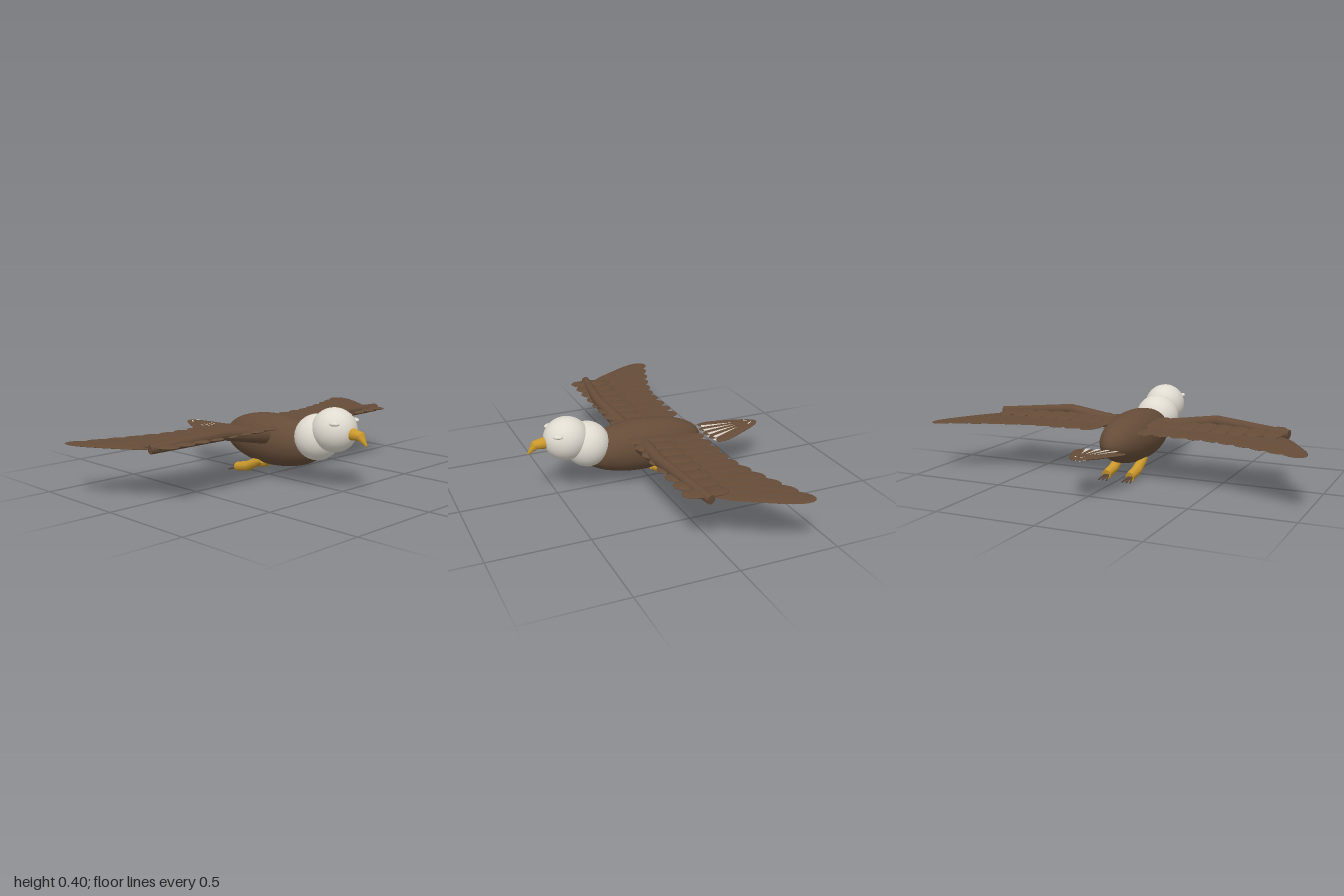
import * as THREE from 'three';
import { toCreasedNormals } from 'three/addons/utils/BufferGeometryUtils.js';

const mat = (name, color, extra = {}) => {
  const m = new THREE.MeshStandardMaterial({ color, ...extra });
  m.name = name;
  return m;
};

// Round limb through [x, y, z, radius] stations, closed at both ends
function limb(stations, sides = 20) {
  const pts = stations.map(s => new THREE.Vector3(s[0], s[1], s[2]));
  const n = pts.length, pos = [], idx = [];
  pts.forEach((p, i) => {
    const dir = pts[Math.min(i + 1, n - 1)].clone().sub(pts[Math.max(i - 1, 0)]).normalize();
    const ref = Math.abs(dir.y) > 0.9 ? new THREE.Vector3(1, 0, 0) : new THREE.Vector3(0, 1, 0);
    const u = ref.cross(dir).normalize();
    const v = dir.clone().cross(u);
    for (let j = 0; j < sides; j++) {
      const a = j / sides * Math.PI * 2;
      const q = p.clone().addScaledVector(u, Math.cos(a) * stations[i][3]).addScaledVector(v, Math.sin(a) * stations[i][3]);
      pos.push(q.x, q.y, q.z);
    }
  });
  for (let i = 0; i < n - 1; i++) for (let j = 0; j < sides; j++) {
    const a = i * sides + j, b = i * sides + (j + 1) % sides;
    idx.push(a, b, b + sides, a, b + sides, a + sides);
  }
  const c0 = pos.length / 3, c1 = c0 + 1, last = (n - 1) * sides;
  pos.push(...pts[0].toArray(), ...pts[n - 1].toArray());
  for (let j = 0; j < sides; j++) {
    const k = (j + 1) % sides;
    idx.push(c0, k, j, c1, last + j, last + k);
  }
  const g = new THREE.BufferGeometry();
  g.setAttribute('position', new THREE.Float32BufferAttribute(pos, 3));
  g.setIndex(idx);
  return toCreasedNormals(g, 0.6);
}

// Flat leaf with blunt rounded ends, long axis along z
function featherGeometry() {
  const g = new THREE.SphereGeometry(1, 20, 16).rotateX(Math.PI / 2);
  const p = g.attributes.position;
  for (let i = 0; i < p.count; i++) p.setX(i, p.getX(i) * Math.sqrt(1 + p.getZ(i) ** 2));
  g.computeVertexNormals();
  return g;
}

export function createModel() {
  const root = new THREE.Group();
  root.name = 'bird';
  const brown = mat('brown plumage', 0x654c38);
  const white = mat('white plumage', 0xe0dbd0);
  const stripeWhite = mat('tail stripe', 0xd8d2c6, { side: THREE.DoubleSide });
  const yellow = mat('yellow beak and legs', 0xcb992c);
  const dark = mat('dark talons', 0x5a4638);
  const ball = new THREE.SphereGeometry(1, 40, 28).rotateX(Math.PI / 2);
  const leaf = featherGeometry();

  const add = (parent, name, geo, material, pos = [0, 0, 0], scale = [1, 1, 1], yaw = 0) => {
    const m = new THREE.Mesh(geo, material);
    m.name = name;
    m.position.set(...pos);
    m.scale.set(...scale);
    m.rotation.y = yaw;
    parent.add(m);
    return m;
  };

  // Torso, neck and head
  add(root, 'body', ball, brown, [0, 0.198, 0.04], [0.128, 0.133, 0.33]);
  add(root, 'neck', ball, white, [0, 0.25, 0.335], [0.115, 0.115, 0.115]);
  add(root, 'head', ball, white, [0, 0.3, 0.443], [0.107, 0.109, 0.115]);
  add(root, 'beak', limb([[0, 0.294, 0.52, 0.031], [0, 0.293, 0.56, 0.029], [0, 0.289, 0.605, 0.024], [0, 0.247, 0.643, 0.003]]), yellow);

  for (const s of [1, -1]) {
    const side = s > 0 ? 'left' : 'right';
    add(root, side + 'Eye', ball, white, [s * 0.078, 0.346, 0.508], [0.016, 0.011, 0.025], -s * 0.5);

    // Wing: arm, long flight feathers and short coverts
    const wing = new THREE.Group();
    wing.name = side + 'Wing';
    root.add(wing);
    add(wing, side + 'WingArm', limb([[s * 0.07, 0.232, 0.075, 0.046], [s * 0.42, 0.291, 0.118, 0.029], [s * 0.81, 0.267, 0.052, 0.022]]), brown);
    for (let i = 0; i < 10; i++) {
      const t = i / 9;
      const bx = 0.165 + t * 0.57, bz = 0.06 - t * 0.04;
      const tx = 0.16 + t * 0.81, tz = -0.237 - 0.148 * Math.max(0, (t - 0.4) / 0.6) ** 1.3;
      const f = add(wing, side + 'FlightFeather', leaf, brown, [s * (bx + tx) / 2, 0.262 - t * 0.003, (bz + tz) / 2],
        [0.052 + t * 0.014, 0.006, Math.hypot(tx - bx, tz - bz) / 2], Math.atan2(s * (tx - bx), tz - bz));
      f.rotation.order = 'YXZ';
    }
    for (let i = 0; i < 8; i++) {
      add(wing, side + 'Covert', leaf, brown, [s * (0.125 + i * 0.088), 0.271, 0.046 + (i % 7 === 0 ? 0 : 0.002)],
        [0.049, 0.011, 0.113]).rotation.x = -0.06;
    }

    // Leg swept backwards with three toes
    add(root, side + 'Leg', limb([[s * 0.065, 0.092, 0.01, 0.018], [s * 0.065, 0.075, -0.03, 0.024], [s * 0.065, 0.045, -0.09, 0.026], [s * 0.065, 0.028, -0.172, 0.024]]), yellow);
    for (const k of [-1, 0, 1]) {
      add(root, side + 'Toe', limb([[s * 0.065 + k * 0.007, 0.028, -0.165, 0.006], [s * 0.065 + k * 0.022, 0.01, -0.218, 0.004]], 8), dark);
    }
  }

  // Tail fan, spreading forwards from its tip
  const tail = new THREE.Group();
  tail.name = 'tail';
  tail.position.set(0, 0.208, -0.622);
  tail.rotation.x = 0.073;
  root.add(tail);
  for (let i = -2; i <= 2; i++) {
    const a = i * 0.2, c = 0.144;
    add(tail, 'tailFeather', leaf, brown, [Math.sin(a) * c, 0, Math.cos(a) * c], [0.036, 0.008, 0.16], a);
  }

  // Pale wedges and tip flecks on both faces of the tail
  const wedge = (z0, z1, w0, w1) => new THREE.ShapeGeometry(new THREE.Shape([
    new THREE.Vector2(-w0, z0), new THREE.Vector2(w0, z0), new THREE.Vector2(w1, z1), new THREE.Vector2(-w1, z1)
  ])).rotateX(Math.PI / 2);
  const stripe = wedge(0.12, 0.288, 0.001, 0.012), fleck = wedge(0.02, 0.055, 0.002, 0.005);
  for (const y of [0.0088, -0.0088]) {
    for (const a of [-0.27, -0.09, 0.09, 0.27]) add(tail, 'tailStripe', stripe, stripeWhite, [0, y, 0], [1, 1, 1], a);
    for (const a of [-0.5, 0.5]) add(tail, 'tailFleck', fleck, stripeWhite, [0, y, 0], [1, 1, 1], a);
  }
  return root;
}
